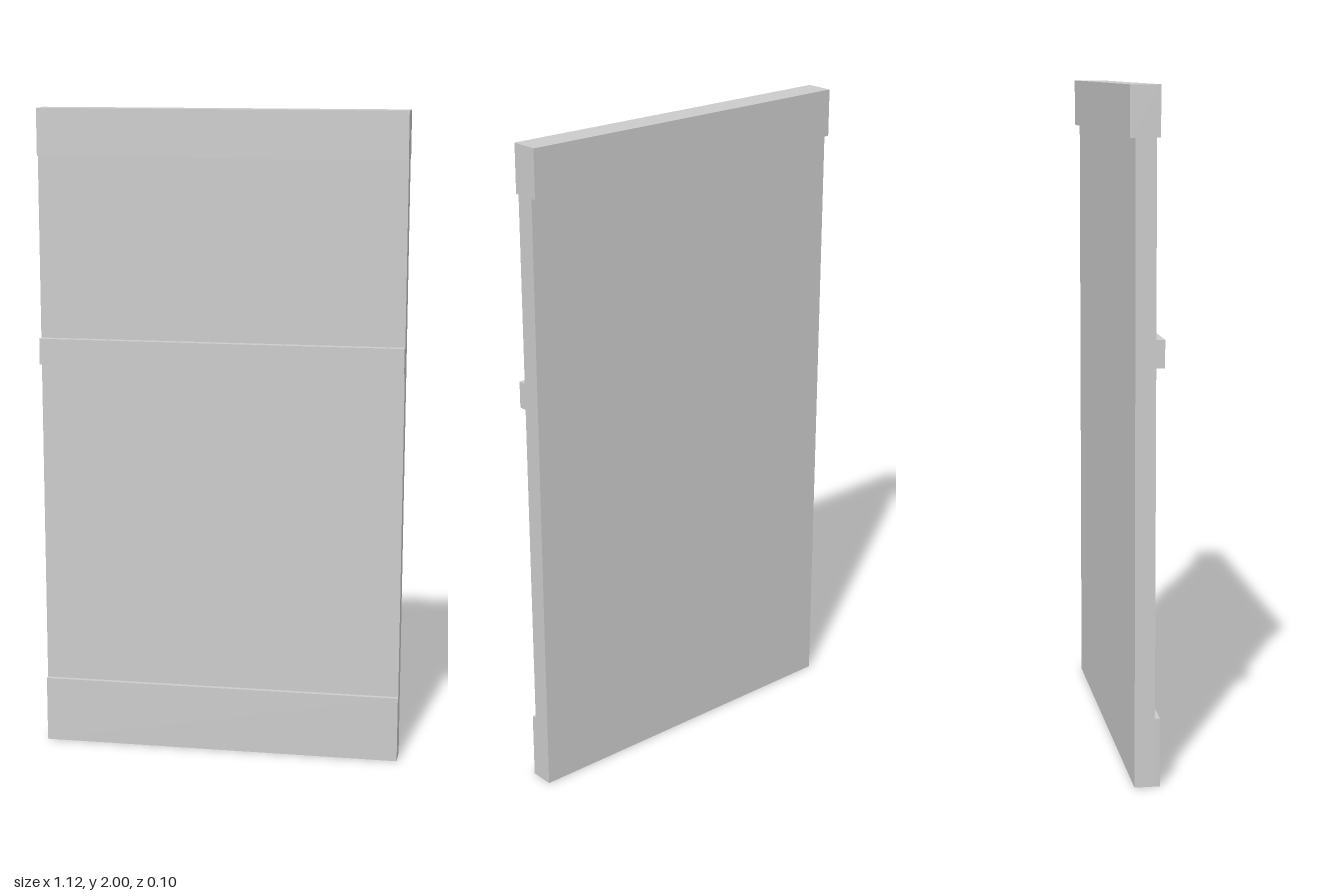
import * as THREE from 'three';

const WIDTH = 1.12;

export function createModel() {
  const model = new THREE.Group();
  model.name = 'wallPanel';
  const material = new THREE.MeshStandardMaterial({ color: 0xcccccc, flatShading: true });

  // Full-width board spanning y0..y1 and z0..z1
  const addBoard = (name, y0, y1, z0, z1) => {
    const board = new THREE.Mesh(new THREE.BoxGeometry(WIDTH, y1 - y0, z1 - z0), material);
    board.name = name;
    board.position.set(0, (y0 + y1) / 2, (z0 + z1) / 2);
    model.add(board);
  };

  const back = -0.034, face = 0.025;
  addBoard('panel', 0, 1.857, back, face);
  // Cap overhangs both sides of the panel
  addBoard('topCap', 1.857, 2, -0.05, 0.036);
  // Front trim
  addBoard('chairRail', 1.222, 1.302, face, 0.05);
  addBoard('baseboard', 0, 0.205, face, 0.04);

  return model;
}
